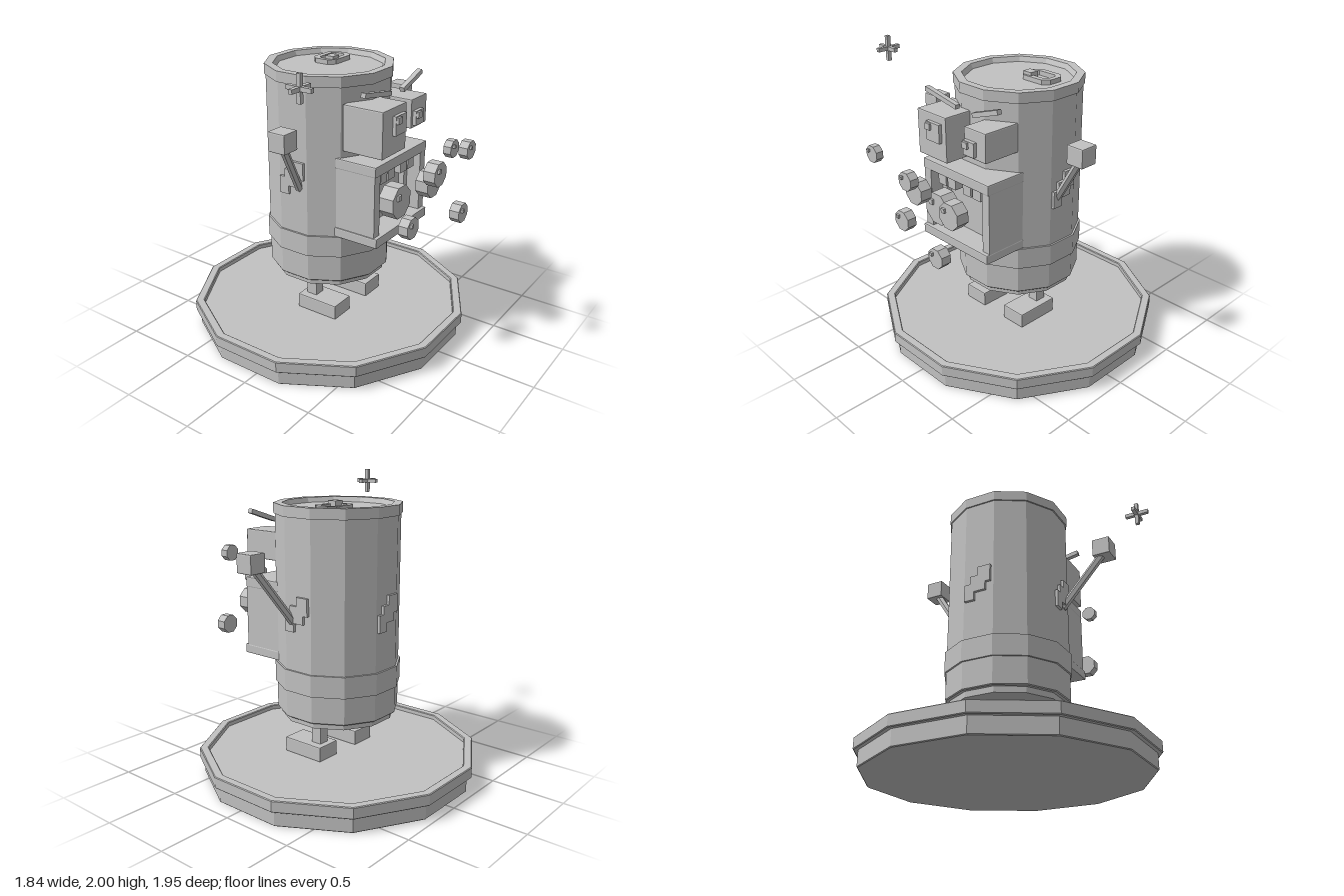
import * as THREE from 'three';
import { RoundedBoxGeometry } from 'three/addons/geometries/RoundedBoxGeometry.js';

const clay = new THREE.MeshStandardMaterial({ color: 0xc2c2c2, flatShading: true });
clay.name = 'plain grey';

const CZ = -0.055; // depth of the can's axis

function add(parent, name, geometry, x = 0, y = 0, z = 0) {
  const mesh = new THREE.Mesh(geometry, clay);
  mesh.name = name;
  mesh.position.set(x, y, z);
  parent.add(mesh);
  return mesh;
}

// Box from its limits, optionally with a small bevel
function box(parent, name, x0, x1, y0, y1, z0, z1, bevel = 0) {
  const s = [x1 - x0, y1 - y0, z1 - z0];
  const g = bevel ? new RoundedBoxGeometry(...s, 1, bevel) : new THREE.BoxGeometry(...s);
  return add(parent, name, g, (x0 + x1) / 2, (y0 + y1) / 2, (z0 + z1) / 2);
}

// Twelve-sided turned body; profile is [half width across flats, height]
function turned(parent, name, profile) {
  const k = 1 / Math.cos(Math.PI / 12);
  const pts = profile.map(([r, y]) => new THREE.Vector2(r * k, y));
  return add(parent, name, new THREE.LatheGeometry(pts, 12, Math.PI / 12), 0, 0, CZ);
}

// Bar stretched between two points
function bar(parent, name, a, b, radius, sides) {
  const dir = b.clone().sub(a);
  const m = add(parent, name, new THREE.CylinderGeometry(radius, radius, dir.length(), sides));
  m.position.copy(a).add(b).multiplyScalar(0.5);
  m.quaternion.setFromUnitVectors(new THREE.Vector3(0, 1, 0), dir.normalize());
  return m;
}

export function createModel() {
  const model = new THREE.Group();
  model.name = 'canCreature';

  // Display base with a raised rim
  turned(model, 'base', [[0, 0], [0.885, 0], [0.89, 0.005], [0.89, 0.105], [0.915, 0.105], [0.92, 0.11],
    [0.92, 0.178], [0.915, 0.183], [0.868, 0.183], [0.862, 0.178], [0.862, 0.15], [0, 0.15]]);

  // Can body with bottom step, belly band, top rim and sunken lid
  turned(model, 'can', [[0, 0.43], [0.368, 0.43], [0.368, 0.47], [0.39, 0.47], [0.396, 0.476],
    [0.396, 0.655], [0.408, 0.655], [0.408, 0.798], [0.396, 0.798], [0.396, 1.78], [0.405, 1.78],
    [0.405, 1.848], [0.352, 1.848], [0.337, 1.815], [0, 1.815]]);

  // Pull tab on the lid
  const tab = new THREE.Group();
  tab.name = 'pullTab';
  model.add(tab);
  const ring = (P, w, h, c) => {
    [[-w, -h + c], [-w + c, -h], [w - c, -h], [w, -h + c], [w, h - c], [w - c, h], [-w + c, h], [-w, h - c]]
      .forEach(([x, y], i) => (i ? P.lineTo(x, y) : P.moveTo(x, y)));
    P.closePath();
    return P;
  };
  const tabShape = ring(new THREE.Shape(), 0.12, 0.087, 0.04);
  tabShape.holes.push(ring(new THREE.Path(), 0.086, 0.05, 0.02));
  const tabMesh = add(tab, 'tabRing',
    new THREE.ExtrudeGeometry(tabShape, { depth: 0.03, bevelEnabled: false }), 0.13, 1.815, -0.127);
  tabMesh.rotation.x = -Math.PI / 2;
  box(tab, 'tabRivet', 0.037, 0.105, 1.815, 1.865, -0.117, -0.055);

  // Legs, feet, arms and hands
  for (const s of [1, -1]) {
    const side = s > 0 ? 'left' : 'right';
    const x = s * 0.188;
    box(model, side + 'Leg', x - 0.038, x + 0.038, 0.2, 0.44, -0.088, -0.012);
    box(model, side + 'Foot', x - 0.09, x + 0.09, 0.15, 0.253, -0.128, 0.183, 0.008);
    bar(model, side + 'Arm', new THREE.Vector3(s * 0.385, 1.105, -0.015),
      new THREE.Vector3(s * 0.66, 1.5, 0.075), 0.026, 6);
    box(model, side + 'Hand', s * 0.66 - 0.062, s * 0.66 + 0.062, 1.462, 1.586, 0.02, 0.145, 0.008);
  }

  // Eyes: block, pupil and glint
  box(model, 'rightEye', -0.295, -0.025, 1.385, 1.683, 0.25, 0.537, 0.008);
  box(model, 'rightPupil', -0.185, -0.063, 1.51, 1.632, 0.5, 0.56);
  box(model, 'rightGlint', -0.18, -0.137, 1.583, 1.625, 0.53, 0.575);
  box(model, 'leftEye', 0.098, 0.288, 1.468, 1.658, 0.23, 0.5, 0.008);
  box(model, 'leftPupil', 0.115, 0.21, 1.49, 1.583, 0.48, 0.525);
  box(model, 'leftGlint', 0.12, 0.165, 1.537, 1.578, 0.5, 0.54);

  // Slanted eyebrows
  for (const [name, x0, y0, x1, y1] of [['rightBrow', -0.333, 1.774, -0.043, 1.722],
    ['leftBrow', 0.105, 1.709, 0.325, 1.783]]) {
    const dx = x1 - x0, dy = y1 - y0;
    const m = add(model, name, new THREE.BoxGeometry(Math.hypot(dx, dy), 0.03, 0.034),
      (x0 + x1) / 2, (y0 + y1) / 2, 0.422);
    m.rotation.z = Math.atan2(dy, dx);
  }

  // Open mouth: lips, cheeks, inner jambs, back and teeth
  const mouth = new THREE.Group();
  mouth.name = 'mouth';
  model.add(mouth);
  box(mouth, 'upperLip', -0.307, 0.307, 1.265, 1.335, 0.2, 0.502, 0.008);
  box(mouth, 'lowerLip', -0.312, 0.307, 0.8, 0.865, 0.2, 0.52, 0.008);
  box(mouth, 'mouthBack', -0.25, 0.25, 0.86, 1.27, 0.25, 0.36);
  for (const s of [1, -1]) {
    const c = s * 0.274, j = s * 0.225;
    box(mouth, 'cheek', c - 0.031, c + 0.031, 0.86, 1.27, 0.2, 0.495);
    box(mouth, 'jamb', j - 0.022, j + 0.022, 0.86, 1.27, 0.25, 0.4);
  }
  for (const x of [-0.16, -0.07, 0.075, 0.165]) {
    box(mouth, 'tooth', x - 0.037, x + 0.037, 1.182, 1.27, 0.36, 0.47);
  }

  // Octagonal bubbles with a glint: x, y, half width, back z, front z
  const bubbles = [[-0.2, 1.522, 0.05, 0.91, 0.957], [0.075, 1.427, 0.055, 0.875, 0.932],
    [-0.036, 1.272, 0.074, 0.715, 0.793], [0.127, 1.125, 0.085, 0.58, 0.668],
    [-0.105, 1.06, 0.104, 0.465, 0.57], [-0.253, 0.982, 0.066, 0.675, 0.74],
    [0.208, 0.94, 0.062, 0.775, 0.843]];
  for (const [x, y, r, z0, z1] of bubbles) {
    const R = r / Math.cos(Math.PI / 8);
    const g = new THREE.CylinderGeometry(R, R, z1 - z0, 8, 1, false, Math.PI / 8).rotateX(Math.PI / 2);
    add(model, 'bubble', g, x, y, (z0 + z1) / 2);
    const gx = x - 0.4 * r, gy = y + 0.4 * r, h = 0.17 * r;
    box(model, 'bubbleGlint', gx - h, gx + h, gy - h, gy + h, z1 - 0.01, z1 + 0.015);
  }

  // Stepped splats on both sides and the back: rows of bottom, top, left, right
  const rows = [[1.23, 1.29, 0, 0.09], [1.175, 1.23, -0.055, 0.09],
    [1.118, 1.175, -0.095, 0.055], [1.06, 1.118, -0.095, -0.025]];
  for (const [name, turn] of [['leftSplat', 0.5], ['backSplat', 1], ['rightSplat', -0.5]]) {
    const splat = new THREE.Group();
    splat.name = name;
    splat.position.z = CZ;
    splat.rotation.y = turn * Math.PI;
    for (const [y0, y1, x0, x1] of rows) box(splat, 'splatRow', x0, x1, y0, y1, 0.385, 0.415);
    model.add(splat);
  }

  // Floating three-axis sparkle
  const sparkle = new THREE.Group();
  sparkle.name = 'sparkle';
  sparkle.position.set(-0.828, 1.917, 0.347);
  for (const axis of [0, 1, 2]) {
    const size = [0.026, 0.026, 0.026];
    size[axis] = 0.167;
    add(sparkle, 'sparkleArm', new THREE.BoxGeometry(...size));
  }
  model.add(sparkle);

  return model;
}
